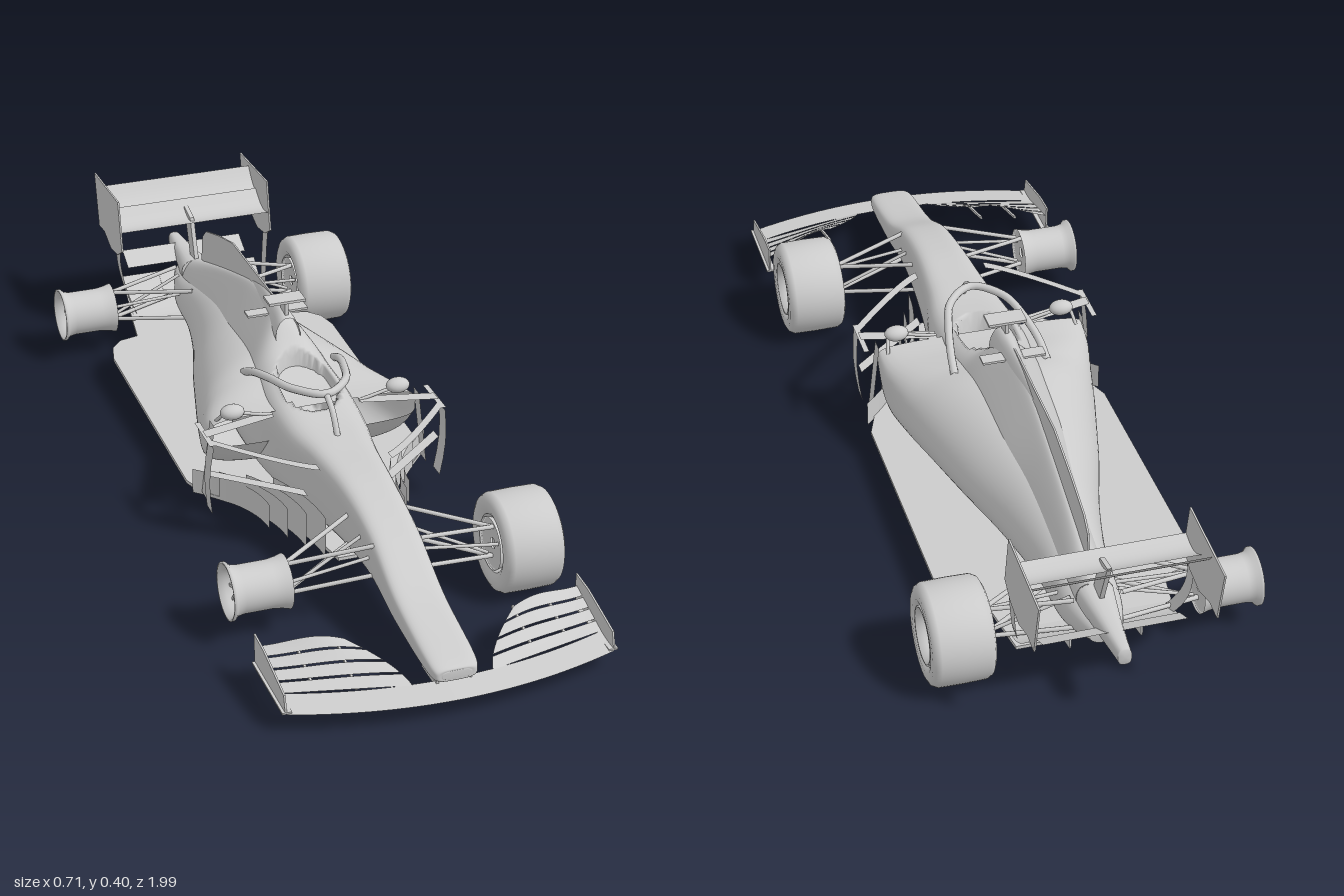
import * as THREE from 'three';

const paint = new THREE.MeshStandardMaterial({ color: 0xcccccc, side: THREE.DoubleSide });
paint.name = 'light grey';

const V = (x, y, z) => new THREE.Vector3(x, y, z);

export function createModel() {
  const car = new THREE.Group();
  car.name = 'racingCar';

  // ---- helpers ----
  const add = (geo, name, parent = car) => {
    const m = new THREE.Mesh(geo, paint);
    m.name = name;
    parent.add(m);
    return m;
  };
  const both = fn => [1, -1].forEach(fn);
  const box = (name, w, h, d, x, y, z, parent) => {
    const m = add(new THREE.BoxGeometry(w, h, d), name, parent);
    m.position.set(x, y, z);
    return m;
  };
  const rod = (name, a, b, r = 0.005) =>
    add(new THREE.TubeGeometry(new THREE.LineCurve3(V(...a), V(...b)), 1, r, 8), name);
  const tube = (name, pts, r, parent) =>
    add(new THREE.TubeGeometry(new THREE.CatmullRomCurve3(pts.map(p => V(...p))), 40, r, 10), name, parent);

  // smooth hull through sections [z, halfWidth, bottom, top, squareness, taper]
  function loft(secs, { n = 64, steps = 14, capFront = true, rule } = {}) {
    const at = i => secs[Math.max(0, Math.min(secs.length - 1, i))];
    const rows = (secs.length - 1) * steps;
    const pos = [], idx = [];
    for (let r = 0; r <= rows; r++) {
      const i = Math.min(Math.floor(r / steps), secs.length - 2), t = r / steps - i;
      const [z, w, y0, y1, e, taper] = at(i).map((b, k) => {
        const a = at(i - 1)[k], c = at(i + 1)[k], d = at(i + 2)[k];
        return b + 0.5 * t * (c - a + t * (2 * a - 5 * b + 4 * c - d + t * (3 * (b - c) + d - a)));
      });
      for (let j = 0; j < n; j++) {
        const a = j / n * Math.PI * 2, c = Math.cos(a), s = Math.sin(a);
        const q = Math.pow(Math.abs(c) ** e + Math.abs(s) ** e, -1 / e);
        const h = (s * q + 1) / 2;
        const p = V(w * c * q * (1 - taper * h), y0 + (y1 - y0) * h, z);
        if (rule) rule(p, h);
        pos.push(p.x, p.y, p.z);
        if (r < rows) {
          const A = r * n + j, B = r * n + (j + 1) % n;
          idx.push(A, A + n, B, B, A + n, B + n);
        }
      }
    }
    const cap = (row, flip) => {
      const s = at(row ? secs.length : 0), k = pos.length / 3;
      pos.push(0, (s[2] + s[3]) / 2, s[0]);
      for (let j = 0; j < n; j++) {
        const A = row * n + j, B = row * n + (j + 1) % n;
        idx.push(k, ...(flip ? [B, A] : [A, B]));
      }
    };
    if (capFront) cap(0, false);
    cap(rows, true);
    const g = new THREE.BufferGeometry();
    g.setAttribute('position', new THREE.Float32BufferAttribute(pos, 3));
    g.setIndex(idx);
    g.computeVertexNormals();
    return g;
  }
  // thin surface from a rule (u, v) -> [x, y, z]
  function sheet(fn, nu = 20, nv = 4) {
    const g = new THREE.PlaneGeometry(1, 1, nu, nv), p = g.attributes.position;
    for (let i = 0; i < p.count; i++) p.setXYZ(i, ...fn(p.getX(i) + 0.5, p.getY(i) + 0.5));
    g.computeVertexNormals();
    return g;
  }
  const shapeOf = pts => new THREE.Shape(pts.map(p => new THREE.Vector2(...p)));
  // upright plate with outline [z, y]
  const sidePlate = (name, pts, x, t = 0.004) => {
    const g = new THREE.ExtrudeGeometry(shapeOf(pts), { depth: t, bevelEnabled: false });
    return add(g.translate(0, 0, -t / 2).rotateY(-Math.PI / 2).translate(x, 0, 0), name);
  };

  // ---- nose, survival cell and engine cover, with the cockpit pressed in ----
  add(loft([
    [0.955, 0.03, 0.068, 0.086, 3, 0], [0.93, 0.05, 0.062, 0.1, 4, 0],
    [0.75, 0.054, 0.075, 0.138, 5, 0], [0.6, 0.056, 0.098, 0.203, 5, 0],
    [0.45, 0.062, 0.09, 0.234, 5, 0], [0.3, 0.075, 0.07, 0.241, 5, 0],
    [0.19, 0.098, 0.058, 0.246, 4.5, 0.05], [0.08, 0.115, 0.05, 0.262, 4, 0.15],
    [-0.04, 0.14, 0.05, 0.29, 3, 0.4], [-0.14, 0.17, 0.055, 0.36, 2.3, 0.8],
    [-0.3, 0.155, 0.06, 0.343, 2.3, 0.85], [-0.45, 0.11, 0.06, 0.3, 2.4, 0.8],
    [-0.6, 0.08, 0.065, 0.25, 2.4, 0.7], [-0.74, 0.06, 0.08, 0.2, 2.5, 0.5],
    [-0.82, 0.035, 0.11, 0.17, 2.5, 0.2],
  ], {
    rule: (p, h) => {
      const q = (p.x / 0.06) ** 2 + ((p.z - 0.05) / 0.1) ** 2;
      if (q < 1 && h > 0.5) p.y -= 0.1 * Math.min(1, (1 - q) * 4);
    },
  }), 'chassisAndEngineCover');
  // sidepods: open inlets in front, shoulders rising into the engine cover
  add(loft([
    [0.1, 0.236, 0.165, 0.236, 5, 0], [0.04, 0.238, 0.09, 0.24, 4, 0.02],
    [-0.04, 0.235, 0.06, 0.256, 2.8, 0.14], [-0.13, 0.228, 0.055, 0.272, 2.4, 0.3],
    [-0.29, 0.188, 0.06, 0.262, 2.3, 0.4], [-0.45, 0.13, 0.06, 0.235, 2.3, 0.4],
    [-0.6, 0.09, 0.065, 0.2, 2.4, 0.35], [-0.74, 0.07, 0.07, 0.165, 2.5, 0.2],
    [-0.84, 0.035, 0.1, 0.15, 2.5, 0],
  ], { capFront: false }), 'sidepods');
  add(loft([
    [-0.075, 0.034, 0.298, 0.362, 2.5, 0.4], [-0.12, 0.036, 0.295, 0.37, 2.5, 0.5],
    [-0.24, 0.03, 0.29, 0.362, 2.4, 0.7], [-0.36, 0.01, 0.28, 0.33, 2.4, 0.7],
  ], { capFront: false, n: 32 }), 'airIntake');
  sidePlate('engineCoverFin', [[-0.13, 0.36], [-0.18, 0.371], [-0.47, 0.366], [-0.58, 0.336],
    [-0.68, 0.302], [-0.71, 0.275], [-0.72, 0.21], [-0.5, 0.25], [-0.2, 0.3]], 0);

  // ---- camera mast and pods on the intake ----
  box('cameraMast', 0.008, 0.04, 0.03, 0, 0.38, -0.1);
  box('cameraBar', 0.084, 0.006, 0.045, 0, 0.399, -0.1);
  box('intakeWinglet', 0.14, 0.005, 0.03, 0, 0.342, -0.16);

  // ---- halo and mirrors ----
  const halo = new THREE.Group();
  halo.name = 'halo';
  car.add(halo);
  const arm = [[0.105, 0.25, -0.07], [0.1, 0.274, -0.02], [0.086, 0.292, 0.05], [0.06, 0.302, 0.13]];
  tube('haloHoop', [...arm, [0, 0.304, 0.18], ...arm.map(([x, y, z]) => [-x, y, z]).reverse()], 0.009, halo);
  tube('haloPillar', [[0, 0.304, 0.18], [0, 0.282, 0.22], [0, 0.235, 0.255]], 0.007, halo);
  both(s => {
    const mirror = add(new THREE.SphereGeometry(1, 20, 14), 'mirror');
    mirror.scale.set(0.027, 0.017, 0.02);
    mirror.position.set(s * 0.19, 0.257, 0.11);
    rod('mirrorStalk', [s * 0.1, 0.235, 0.11], [s * 0.175, 0.252, 0.11], 0.004);
    rod('mirrorStrut', [s * 0.21, 0.255, 0.11], [s * 0.217, 0.225, 0.08], 0.004);
  });

  // ---- raked floor and diffuser ----
  const half = [[0.06, 0.43], [0.09, 0.3], [0.15, 0.2], [0.25, 0.09], [0.272, 0.03], [0.274, -0.55],
    [0.262, -0.6], [0.235, -0.63], [0.19, -0.64], [0.17, -0.78]];
  const floor = new THREE.ExtrudeGeometry(
    shapeOf([...half, ...half.map(([x, z]) => [-x, z]).reverse()]), { depth: 0.008, bevelEnabled: false });
  floor.rotateX(Math.PI / 2);
  const fp = floor.attributes.position;
  for (let i = 0; i < fp.count; i++) fp.setY(i, fp.getY(i) + 0.052 - 0.022 * (fp.getZ(i) - 0.35));
  floor.computeVertexNormals();
  add(floor, 'floor');
  add(sheet((u, v) => [(u - 0.5) * 0.34, 0.075 + 0.06 * v * v, -0.72 - 0.12 * v]), 'diffuser');
  for (let i = -1; i <= 1; i++)
    sidePlate('diffuserStrake', [[-0.74, 0.074], [-0.84, 0.1], [-0.84, 0.135], [-0.78, 0.088]], i * 0.075);

  // ---- bargeboards and sidepod vanes ----
  both(s => {
    for (let i = 0; i < 4; i++) {
      add(sheet((u, v) => [
        s * (0.085 + 0.025 * i + (0.05 + 0.02 * i) * u * u),
        0.05 + (0.095 - 0.012 * i) * v, 0.42 - 0.05 * i - 0.2 * u]), 'bargeboard');
    }
    add(sheet((u, v) => [s * (0.262 + 0.008 * Math.sin(v * 3)), 0.06 + 0.172 * v, 0.19 - 0.04 * u + 0.02 * v]), 'outerVane');
    add(sheet((u, v) => [s * (0.255 - 0.02 * v), 0.06 + 0.175 * v, 0.125 - 0.035 * u]), 'innerVane');
    add(sheet((u, v) => [s * (0.08 + 0.185 * u), 0.234, 0.37 - 0.18 * u ** 1.2 - 0.025 * v]), 'upperBoomerang');
    add(sheet((u, v) => [s * (0.257 + 0.012 * v), 0.234, 0.2 - 0.11 * u]), 'boomerangTip');
    add(sheet((u, v) => [s * (0.09 + 0.175 * u), 0.145, 0.32 - 0.15 * u - 0.03 * v]), 'lowerBoomerang');
    add(sheet((u, v) => [s * (0.1 + 0.165 * u), 0.237, 0.125 - 0.03 * v + 0.04 * u]), 'podLip');
  });

  // ---- front wing ----
  add(sheet((u, v) => {
    const x = (u - 0.5) * 0.69;
    return [x, 0.047 + 0.008 * v, 0.997 - 0.5 * x * x - 0.065 * v];
  }, 40), 'frontWingMainPlane');
  both(s => {
    for (let k = 0; k < 4; k++) {
      add(sheet((u, v) => {
        const f = (k + 0.05 + 0.86 * v) / 4, inX = 0.085 + 0.1 * f ** 1.5;
        const z0 = 0.935 - 0.135 * f, z1 = 0.875 - 0.13 * f;
        return [s * (inX + (0.345 - inX) * u),
          0.055 + 0.052 * f * (1 - 0.35 * u) + 0.02 * Math.sin(Math.PI * u) * f * (1 - u), z0 + (z1 - z0) * u];
      }), 'frontWingFlap');
    }
    for (const [x, z] of [[0.19, 0.84], [0.27, 0.82]])
      box('flapBracket', 0.005, 0.006, 0.13, s * x, 0.07, z).rotation.x = 0.3;
    sidePlate('frontWingEndplate', [[0.935, 0.047], [0.745, 0.047], [0.74, 0.113], [0.8, 0.11], [0.925, 0.085]], s * 0.347);
    box('endplateFoot', 0.02, 0.004, 0.19, s * 0.345, 0.049, 0.84);
    box('noseWingPylon', 0.006, 0.03, 0.08, s * 0.035, 0.06, 0.9);
  });

  // ---- rear wing and tail ----
  const wing = (name, z0, y0, z1, y1, sag) => add(sheet((u, v) => [(u - 0.5) * 0.374,
    y0 + (y1 - y0) * v - sag * Math.sin(Math.PI * v), z0 + (z1 - z0) * v], 4, 10), name);
  wing('rearWingMainPlane', -0.77, 0.285, -0.87, 0.306, 0.018);
  wing('rearWingFlap', -0.875, 0.3, -0.925, 0.343, 0.006);
  both(s => {
    sidePlate('rearWingEndplate', [[-0.785, 0.36], [-0.995, 0.348], [-0.965, 0.22], [-0.92, 0.225],
      [-0.86, 0.205], [-0.8, 0.215], [-0.76, 0.24]], s * 0.187);
    add(sheet((u, v) => [s * (0.187 - 0.025 * (1 - v) ** 2), 0.08 + 0.15 * v,
      -0.735 - 0.035 * u - 0.05 * Math.sin(v * 2)], 2, 10), 'endplateLeg');
  });
  sidePlate('rearWingPylon', [[-0.76, 0.17], [-0.8, 0.17], [-0.85, 0.295], [-0.8, 0.285]], 0, 0.01);
  add(loft([[-0.76, 0.04, 0.12, 0.19, 3, 0], [-0.86, 0.025, 0.13, 0.18, 3, 0],
    [-0.96, 0.014, 0.14, 0.176, 3, 0]], { n: 24 }), 'tailCrashStructure');
  add(sheet((u, v) => [(u - 0.5) * 0.3, 0.15 + 0.025 * v, -0.85 - 0.05 * v]), 'beamWing');

  // ---- suspension ----
  const arms = (name, z, inX, front, back, top, bottom) => both(s => {
    for (const [yi, yo] of [[top, 0.15], [bottom, 0.08]])
      for (const zi of [front, back]) rod(name + 'Wishbone', [s * inX, yi, zi], [s * 0.23, yo, z]);
    rod(name + 'PushRod', [s * inX, top - 0.01, z - 0.02], [s * 0.22, 0.09, z], 0.004);
    rod(name + 'TrackRod', [s * inX, top - 0.035, z + 0.03], [s * 0.23, 0.125, z + 0.03], 0.004);
  });
  arms('front', 0.57, 0.05, 0.615, 0.475, 0.185, 0.115);
  arms('rear', -0.735, 0.05, -0.64, -0.78, 0.17, 0.1);

  // ---- wheels: rims all round, tyres on the left side only ----
  const lathe = pts => new THREE.LatheGeometry(pts.map(p => new THREE.Vector2(...p)), 56).rotateZ(-Math.PI / 2);
  const rimGeo = lathe([[0.012, -0.058], [0.056, -0.058], [0.058, -0.064], [0.054, -0.05], [0.051, -0.03],
    [0.051, 0.035], [0.054, 0.05], [0.062, 0.058], [0.062, 0.064], [0.058, 0.064], [0.05, 0.05], [0.047, 0.03], [0.047, -0.05]]);
  const tyreGeo = lathe([[0.063, -0.06], [0.075, -0.066], [0.092, -0.066], [0.102, -0.061], [0.108, -0.05], [0.109, 0],
    [0.108, 0.05], [0.102, 0.061], [0.092, 0.066], [0.075, 0.066], [0.064, 0.06], [0.058, 0.04], [0.056, -0.04], [0.063, -0.06]]);
  for (const z of [0.57, -0.735]) both(s => {
    const wheel = new THREE.Group();
    wheel.name = (z > 0 ? 'front' : 'rear') + (s > 0 ? 'LeftWheel' : 'RightWheel');
    wheel.position.set(s * 0.289, 0.11, z);
    wheel.rotation.y = s > 0 ? 0 : Math.PI;
    car.add(wheel);
    add(rimGeo, 'rim', wheel);
    if (s > 0) add(tyreGeo, 'tyre', wheel);
    const hub = add(new THREE.CylinderGeometry(0.011, 0.014, 0.1, 20).rotateZ(-Math.PI / 2), 'hub', wheel);
    hub.position.x = -0.004;
    for (let i = 0; i < 10; i++) {
      const a = i / 10 * Math.PI * 2;
      const spoke = box('spoke', 0.008, 0.044, 0.006, 0.038, Math.cos(a) * 0.028, Math.sin(a) * 0.028, wheel);
      spoke.rotation.x = a;
    }
  });

  return car;
}
